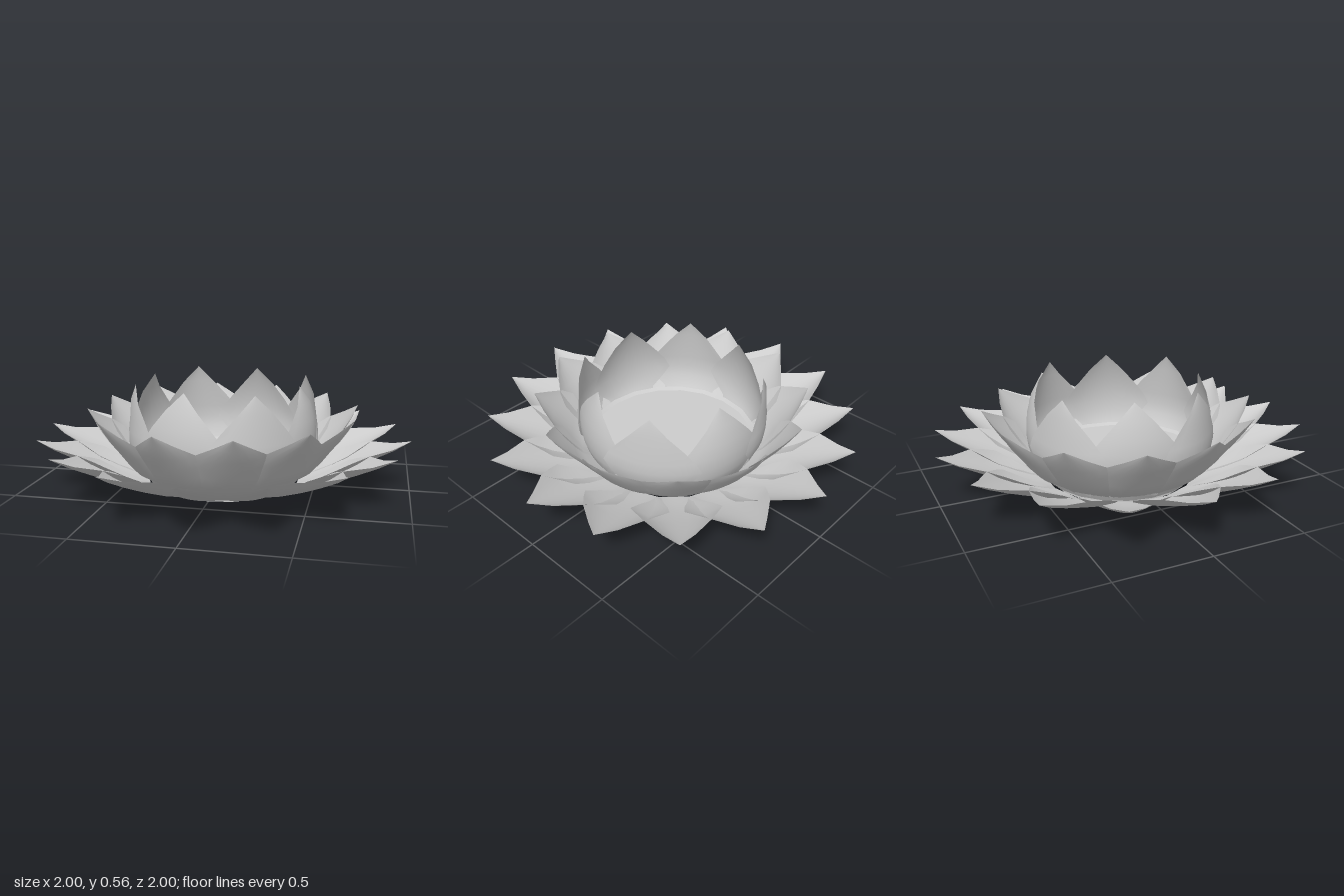
import * as THREE from 'three';

const grey = new THREE.MeshStandardMaterial({ color: 0xcccccc, side: THREE.DoubleSide });
grey.name = 'pale grey';

const SEGMENTS = 8;

// Petal pointing along +z: each row is [radius, height, half width, cup depth];
// the edges curl towards the cup direction (radial, vertical).
function petalGeometry(rows, cupRadial, cupUp) {
  const positions = [];
  const index = [];
  for (const [radius, height, halfWidth, cup] of rows) {
    for (let i = 0; i <= SEGMENTS; i++) {
      const s = (i / SEGMENTS) * 2 - 1;
      const curl = cup * s * s;
      positions.push(s * halfWidth, height + curl * cupUp, radius + curl * cupRadial);
    }
  }
  const stride = SEGMENTS + 1;
  for (let j = 0; j < rows.length - 1; j++) {
    for (let i = 0; i < SEGMENTS; i++) {
      const a = j * stride + i;
      const b = a + stride;
      index.push(a, a + 1, b + 1);
      if (j < rows.length - 2) index.push(a, b + 1, b); // the tip row is a point
    }
  }
  const geometry = new THREE.BufferGeometry();
  geometry.setAttribute('position', new THREE.Float32BufferAttribute(positions, 3));
  geometry.setIndex(index);
  geometry.computeVertexNormals();
  return geometry;
}

// Ring of equal petals, starting at an angle from the front
function petalRing(name, geometry, count, startDegrees) {
  const ring = new THREE.Group();
  ring.name = name;
  for (let i = 0; i < count; i++) {
    const petal = new THREE.Mesh(geometry, grey);
    petal.name = name + 'Petal';
    petal.rotation.y = THREE.MathUtils.degToRad(startDegrees) + (i * Math.PI * 2) / count;
    ring.add(petal);
  }
  return ring;
}

export function createModel() {
  const model = new THREE.Group();
  model.name = 'lotusBowl';

  // Wide, low outer petals
  model.add(petalRing('outer', petalGeometry([
    [0.41, 0.02, 0.09, 0],
    [0.49, 0.04, 0.135, 0.02],
    [0.57, 0.066, 0.185, 0.042],
    [0.66, 0.102, 0.225, 0.062],
    [0.73, 0.132, 0.197, 0.062],
    [0.81, 0.168, 0.158, 0.055],
    [0.91, 0.217, 0.075, 0.02],
    [1.00, 0.27, 0, 0],
  ], -0.38, 0.92), 16, 0));

  // Half-raised middle petals
  model.add(petalRing('middle', petalGeometry([
    [0.40, 0.04, 0.10, 0],
    [0.50, 0.10, 0.155, 0.025],
    [0.555, 0.16, 0.195, 0.05],
    [0.60, 0.22, 0.215, 0.06],
    [0.645, 0.275, 0.18, 0.047],
    [0.695, 0.345, 0.09, 0.02],
    [0.735, 0.41, 0, 0],
  ], -0.75, 0.65), 12, 15));

  // Upright inner petals, alternately leaning in over their neighbours
  const innerPetal = (offset, tip) => petalGeometry([
    [0.42, 0.05, 0.12, 0],
    [0.475, 0.13, 0.15, 0.02],
    [0.495 + offset, 0.19, 0.21, 0.05],
    [0.503 + offset, 0.25, 0.255, 0.07],
    [0.503 + offset, 0.31, 0.225, 0.06],
    [0.495 + offset, 0.38, 0.17, 0.038],
    [(0.495 + offset + tip) / 2 + 0.008, 0.47, 0.09, 0.012],
    [tip, 0.56, 0, 0],
  ], -1, 0);
  model.add(petalRing('innerOpen', innerPetal(0.012, 0.48), 4, 30));
  model.add(petalRing('innerClosed', innerPetal(0, 0.434), 4, 75));

  // Solid centre: recessed foot, flared side, sloping ledge and flat floor
  const profile = [
    [0, 0.018], [0.37, 0.018], [0.372, 0], [0.385, 0], [0.385, 0.02],
    [0.41, 0.025], [0.468, 0.125], [0.445, 0.113], [0, 0.113],
  ].map(([x, y]) => new THREE.Vector2(x, y));
  const bandNames = ['foot', 'foot', 'foot', 'foot', 'side', 'side', 'ledge', 'floor'];
  bandNames.forEach((name, i) => {
    const band = new THREE.Mesh(new THREE.LatheGeometry([profile[i], profile[i + 1]], 20), grey);
    band.name = name;
    model.add(band);
  });

  return model;
}
